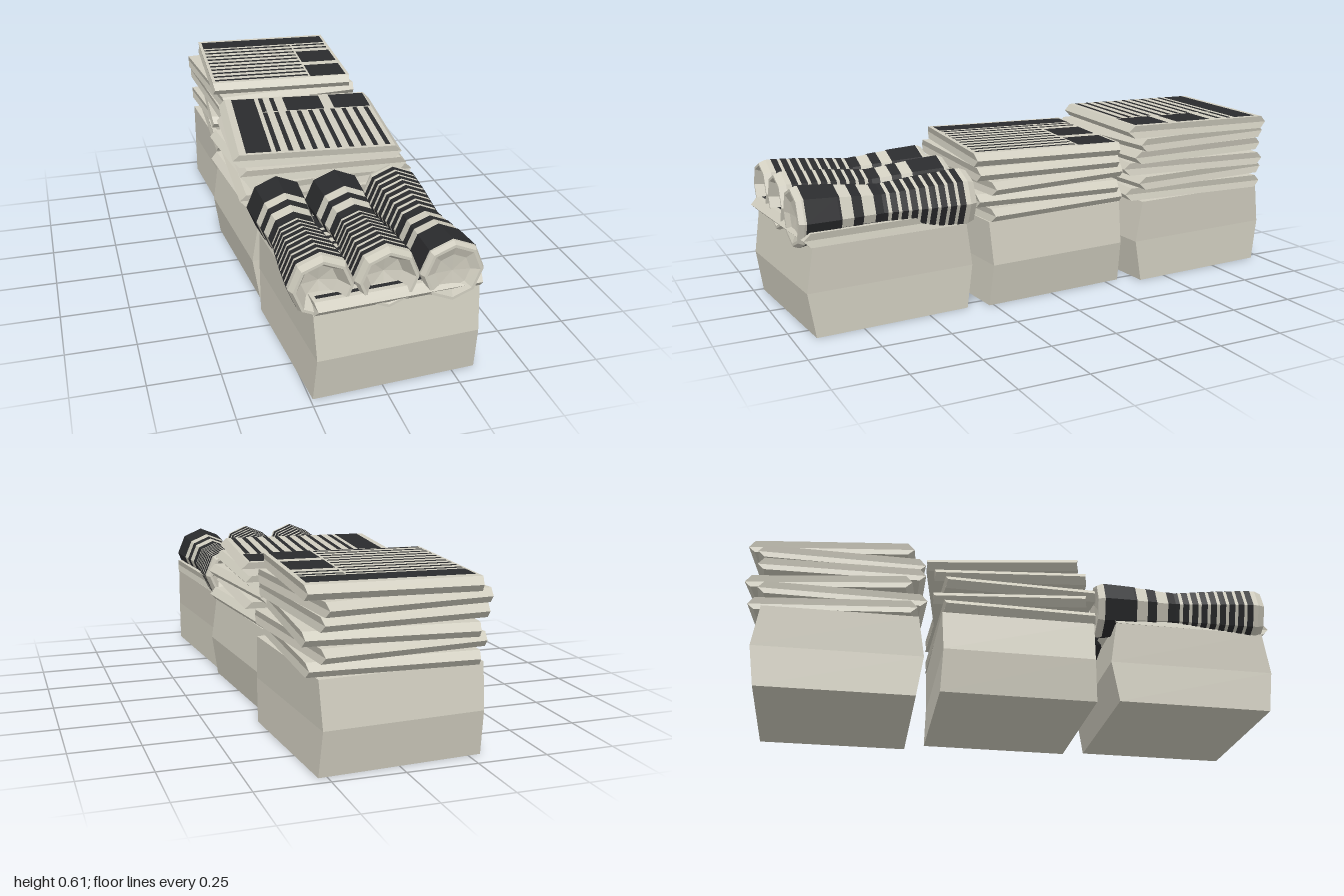
import * as THREE from 'three';

const paper = new THREE.MeshStandardMaterial({ color: 0xd0cdbf, flatShading: true });
const ink = new THREE.MeshStandardMaterial({ color: 0x2a2b2d, flatShading: true });
const inkBand = new THREE.MeshStandardMaterial({ color: 0x2a2b2d, flatShading: true, side: THREE.DoubleSide });

const BLOCK_H = 0.317, SHEET_H = 0.0487;

// Folded paper: box whose waist swells at the fold (z) and pinches at the ends (x)
function foldedPaper(name, height, angle, x, y, z) {
  const geo = new THREE.BoxGeometry(0.575, height, 0.575, 1, 2, 1);
  const p = geo.attributes.position;
  for (let i = 0; i < p.count; i++) {
    if (Math.abs(p.getY(i)) < 1e-5) {
      p.setX(i, p.getX(i) * 0.98);
      p.setZ(i, p.getZ(i) * 1.085);
    }
  }
  geo.translate(0, height / 2, 0);
  geo.computeVertexNormals();
  const mesh = new THREE.Mesh(geo, paper);
  mesh.name = name;
  mesh.position.set(x, y, z);
  mesh.rotation.y = angle;
  return mesh;
}

// Printed front page: headline bar, text lines and two pictures
function addPrint(sheet) {
  const print = new THREE.Group();
  print.name = 'print';
  const bar = (name, x, z, w, d) => {
    const m = new THREE.Mesh(new THREE.PlaneGeometry(w, d).rotateX(-Math.PI / 2), ink);
    m.name = name;
    m.position.set(x, SHEET_H + 0.002, z);
    print.add(m);
  };
  bar('headline', 0, -0.215, 0.55, 0.093);
  for (let i = 0; i < 10; i++) bar('textLine', -0.08, -0.143 + i * 0.045, 0.39, 0.018);
  for (let i = 0; i < 2; i++) bar('shortLine', 0.198, -0.143 + i * 0.045, 0.15, 0.018);
  bar('upperPicture', 0.198, 0.022, 0.15, 0.15);
  bar('lowerPicture', 0.198, 0.21, 0.15, 0.145);
  sheet.add(print);
}

// One bundle: thick block with loose sheets on top, the last one printed
function bundle(name, x, z, blockAngle, turn, sheets) {
  const g = new THREE.Group();
  g.name = name;
  g.add(foldedPaper('block', BLOCK_H, turn + blockAngle, x, 0, z));
  sheets.forEach(([angle, dx, dz], i) => {
    const s = foldedPaper('sheet', SHEET_H, turn + angle, x + dx, BLOCK_H + i * SHEET_H, z + dz);
    if (i === sheets.length - 1) addPrint(s);
    g.add(s);
  });
  return g;
}

// Outer radius of a roll along its length
const OUTLINE = [[0, 0.1], [0.018, 0.108], [0.14, 0.1], [0.3, 0.083], [0.48, 0.1], [0.615, 0.108], [0.64, 0.098]];
function rollRadius(t) {
  for (let i = 1; i < OUTLINE.length; i++) {
    const [a, ra] = OUTLINE[i - 1], [b, rb] = OUTLINE[i];
    if (t <= b) return ra + (rb - ra) * (t - a) / (b - a);
  }
  return 0.098;
}

// Rolled paper: eight sides, narrow waist, shallow end and hollow end, inked bands
function roll() {
  const g = new THREE.Group();
  g.name = 'rolledPaper';
  const V = (r, y) => new THREE.Vector2(r, y);
  const profile = [V(0, 0.018), V(0.06, 0.012), V(0.09, 0), ...OUTLINE.map(([t, r]) => V(r, t)),
    V(0.088, 0.64), V(0.06, 0.59), V(0, 0.575)];
  const body = new THREE.Mesh(new THREE.LatheGeometry(profile, 8), paper);
  body.name = 'rollBody';
  g.add(body);
  const bands = [[0.025, 0.148], [0.19, 0.226], [0.27, 0.315]];
  for (let i = 0; i < 8; i++) bands.push([0.328 + i * 0.035, 0.351 + i * 0.035]);
  for (const [a, b] of bands) {
    const ts = [a, ...OUTLINE.map(o => o[0]).filter(t => t > a && t < b), b];
    const m = new THREE.Mesh(new THREE.LatheGeometry(ts.map(t => V(rollRadius(t) + 0.002, t)), 8), inkBand);
    m.name = 'rollPrint';
    g.add(m);
  }
  return g;
}

export function createModel() {
  const model = new THREE.Group();
  model.name = 'newspaperBundles';

  model.add(bundle('backBundle', 0.01, -0.655, 0.06, 0, [
    [-0.05, 0, 0], [0.08, 0, 0], [-0.09, 0, -0.01], [0.05, -0.01, 0], [0.08, -0.01, -0.01], [-0.065, 0.003, -0.015],
  ]));
  model.add(bundle('middleBundle', 0, 0, 0.07, Math.PI / 2, [
    [0.09, 0, 0], [-0.05, 0, 0], [0.1, 0, 0], [-0.04, 0, 0], [-0.1, -0.003, -0.015],
  ]));
  model.add(bundle('frontBundle', 0.025, 0.655, 0.07, 0, [[0.075, 0, 0.005]]));

  // Three rolls lying on the front bundle, the last one turned end for end
  [-0.208, 0.007, 0.222].forEach((x, i) => {
    const r = roll();
    const flipped = i === 2;
    r.rotation.x = flipped ? -Math.PI / 2 : Math.PI / 2;
    r.position.set(x, flipped ? 0.398 : 0.403, flipped ? 0.96 : 0.32);
    model.add(r);
  });
  return model;
}
